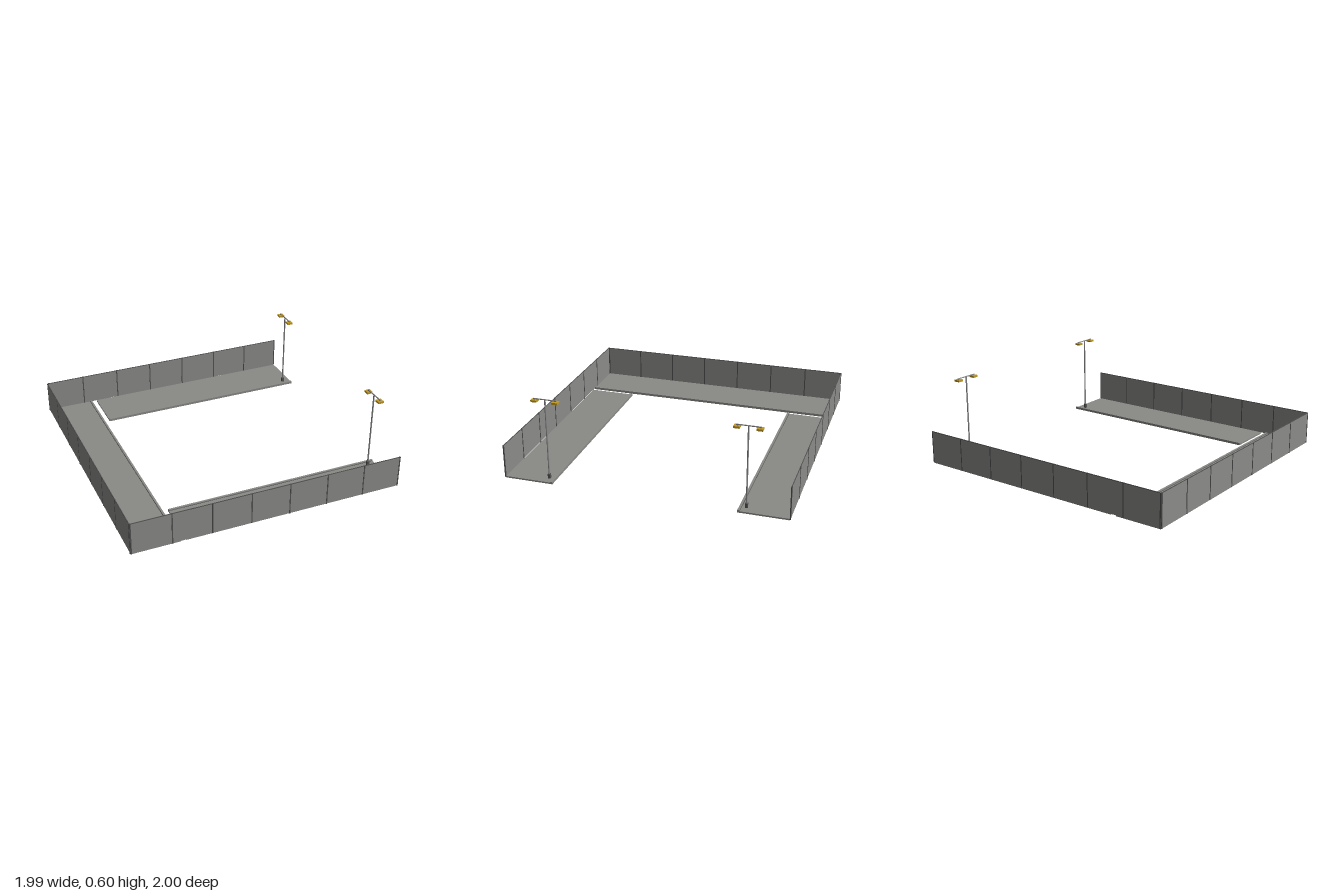
import * as THREE from 'three';

const material = (name, color) => {
  const m = new THREE.MeshStandardMaterial({ color });
  m.name = name;
  return m;
};

export function createModel() {
  const concrete = material('concrete grey', 0x8a8a87);
  const panelGrey = material('panel grey', 0x8b8b89);
  const darkSteel = material('dark steel', 0x525252);
  const poleSteel = material('pole steel', 0x8c8c8e);
  const gold = material('lamp gold', 0xc29a22);

  const model = new THREE.Group();
  model.name = 'fencedPlatforms';

  // Box placed by its centre in x and z and by its bottom in y
  const box = (parent, name, mat, w, h, d, x, y, z) => {
    const mesh = new THREE.Mesh(new THREE.BoxGeometry(w, h, d), mat);
    mesh.name = name;
    mesh.position.set(x, y + h / 2, z);
    parent.add(mesh);
    return mesh;
  };

  // Platform running along x, with a raised curb on its inner edge at z = 0
  const platform = (name, length) => {
    const g = new THREE.Group();
    g.name = name;
    box(g, 'slab', concrete, length, 0.011, 0.343, 0, 0.001, 0.1715);
    box(g, 'curb', concrete, length, 0.018, 0.014, 0, 0.001, 0.007);
    box(g, 'curbJoint', darkSteel, length, 0.002, 0.003, 0, 0.0115, 0.0155);
    model.add(g);
    return g;
  };
  platform('frontPlatform', 1.595).position.set(0.1925, 0, 0.646);
  const backPlatform = platform('backPlatform', 1.595);
  backPlatform.position.set(0.1925, 0, -0.646);
  backPlatform.rotation.y = Math.PI;
  const sidePlatform = platform('sidePlatform', 1.98);
  sidePlatform.position.set(-0.645, 0, 0);
  sidePlatform.rotation.y = -Math.PI / 2;

  // Fence along x: seven panels between eight posts, under a thin rail
  const fence = (name) => {
    const g = new THREE.Group();
    g.name = name;
    const pitch = 1.976 / 7;
    for (let i = 0; i < 8; i++) {
      const x = -0.988 + i * pitch;
      box(g, 'post', darkSteel, 0.008, 0.239, 0.008, x, 0.006, 0);
      if (i < 7) box(g, 'panel', panelGrey, pitch - 0.008, 0.231, 0.003, x + pitch / 2, 0.01, 0);
    }
    box(g, 'topRail', darkSteel, 1.976, 0.004, 0.005, 0, 0.241, 0);
    model.add(g);
    return g;
  };
  fence('frontFence').position.z = 0.994;
  fence('backFence').position.z = -0.994;
  const sideFence = fence('sideFence');
  sideFence.position.x = -0.992;
  sideFence.rotation.y = Math.PI / 2;

  // Twin-headed lamps near the open end
  for (const side of [1, -1]) {
    const lamp = new THREE.Group();
    lamp.name = side > 0 ? 'frontLamp' : 'backLamp';
    lamp.position.set(0.928, 0, side * 0.693);
    box(lamp, 'base', darkSteel, 0.018, 0.044, 0.018, 0, 0, 0);
    const pole = new THREE.Mesh(new THREE.CylinderGeometry(0.0055, 0.0055, 0.555, 12), poleSteel);
    pole.name = 'pole';
    pole.position.y = 0.318;
    lamp.add(pole);
    box(lamp, 'crossArm', poleSteel, 0.006, 0.006, 0.166, 0, 0.592, 0);
    for (const end of [1, -1]) {
      box(lamp, 'lampHead', gold, 0.042, 0.014, 0.042, 0, 0.575, end * 0.075);
      box(lamp, 'headBracket', poleSteel, 0.006, 0.004, 0.014, 0, 0.589, end * 0.075);
    }
    model.add(lamp);
  }

  return model;
}
